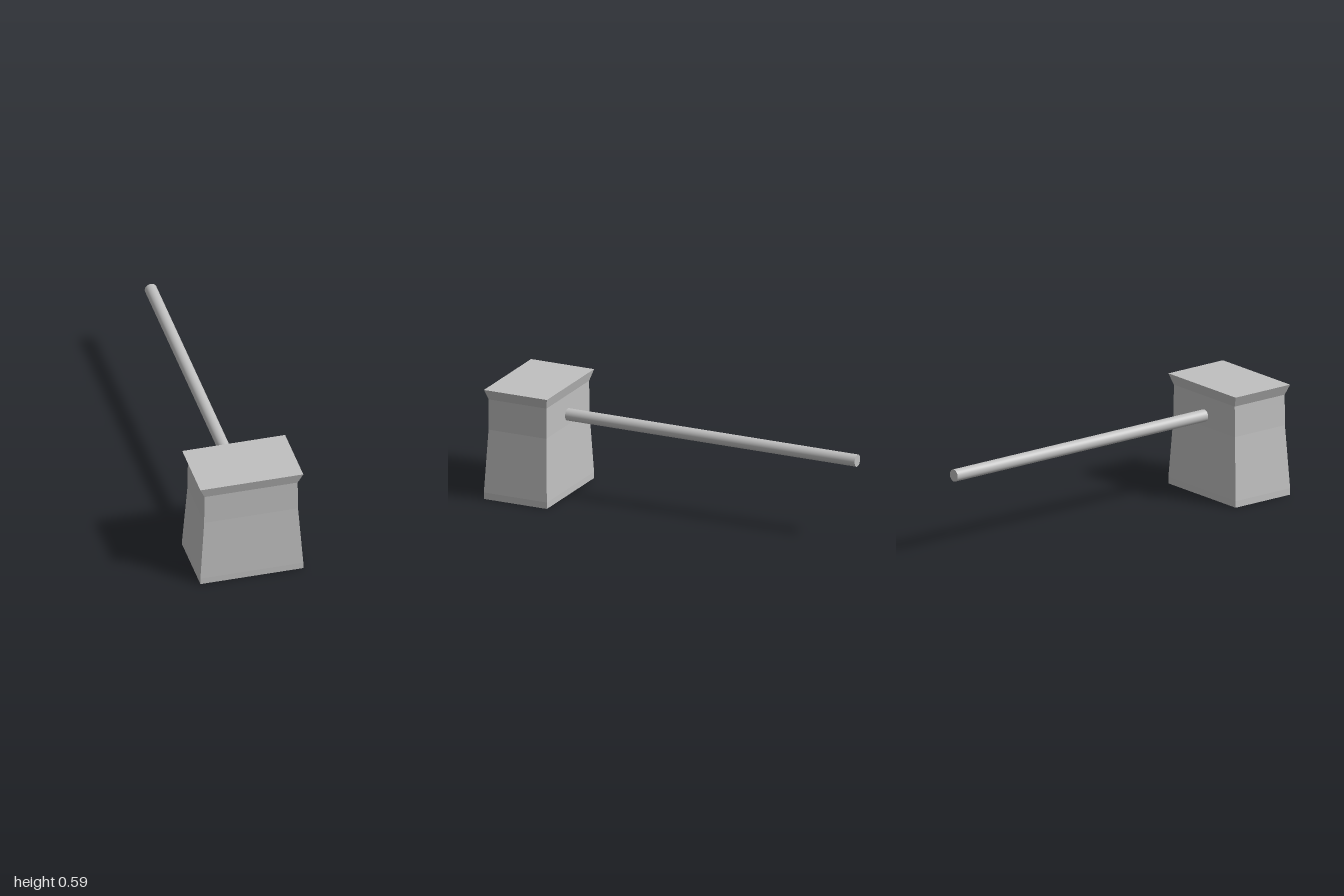
import * as THREE from 'three';

// Head profile from bottom to top: height, half width, half depth
const PROFILE = [
  [0, 0.273, 0.18],
  [0.035, 0.273, 0.18],
  [0.37, 0.249, 0.165],
  [0.533, 0.247, 0.165],
  [0.59, 0.273, 0.18],
];
const HEAD_Z = 0.82;

// Box whose horizontal rings are moved to follow the profile
function createHeadGeometry() {
  const rows = PROFILE.length - 1;
  const box = new THREE.BoxGeometry(2, rows, 2, 1, rows, 1);
  const pos = box.attributes.position;
  for (let i = 0; i < pos.count; i++) {
    const [y, halfWidth, halfDepth] = PROFILE[Math.round(pos.getY(i) + rows / 2)];
    pos.setXYZ(i, pos.getX(i) * halfWidth, y, pos.getZ(i) * halfDepth);
  }
  const faceted = box.toNonIndexed();
  faceted.computeVertexNormals();
  return faceted;
}

export function createModel() {
  const model = new THREE.Group();
  model.name = 'mallet';

  const grey = new THREE.MeshStandardMaterial({ color: 0xc0c0c0 });
  grey.name = 'grey';

  // Flared block head
  const head = new THREE.Mesh(createHeadGeometry(), grey);
  head.name = 'head';
  head.position.z = HEAD_Z;
  model.add(head);

  // Round handle running back from the head
  const back = -1, front = 0.7;
  const handle = new THREE.Mesh(new THREE.CylinderGeometry(0.032, 0.032, front - back, 32), grey);
  handle.name = 'handle';
  handle.rotation.x = Math.PI / 2;
  handle.position.set(0, 0.427, (front + back) / 2);
  model.add(handle);

  return model;
}
